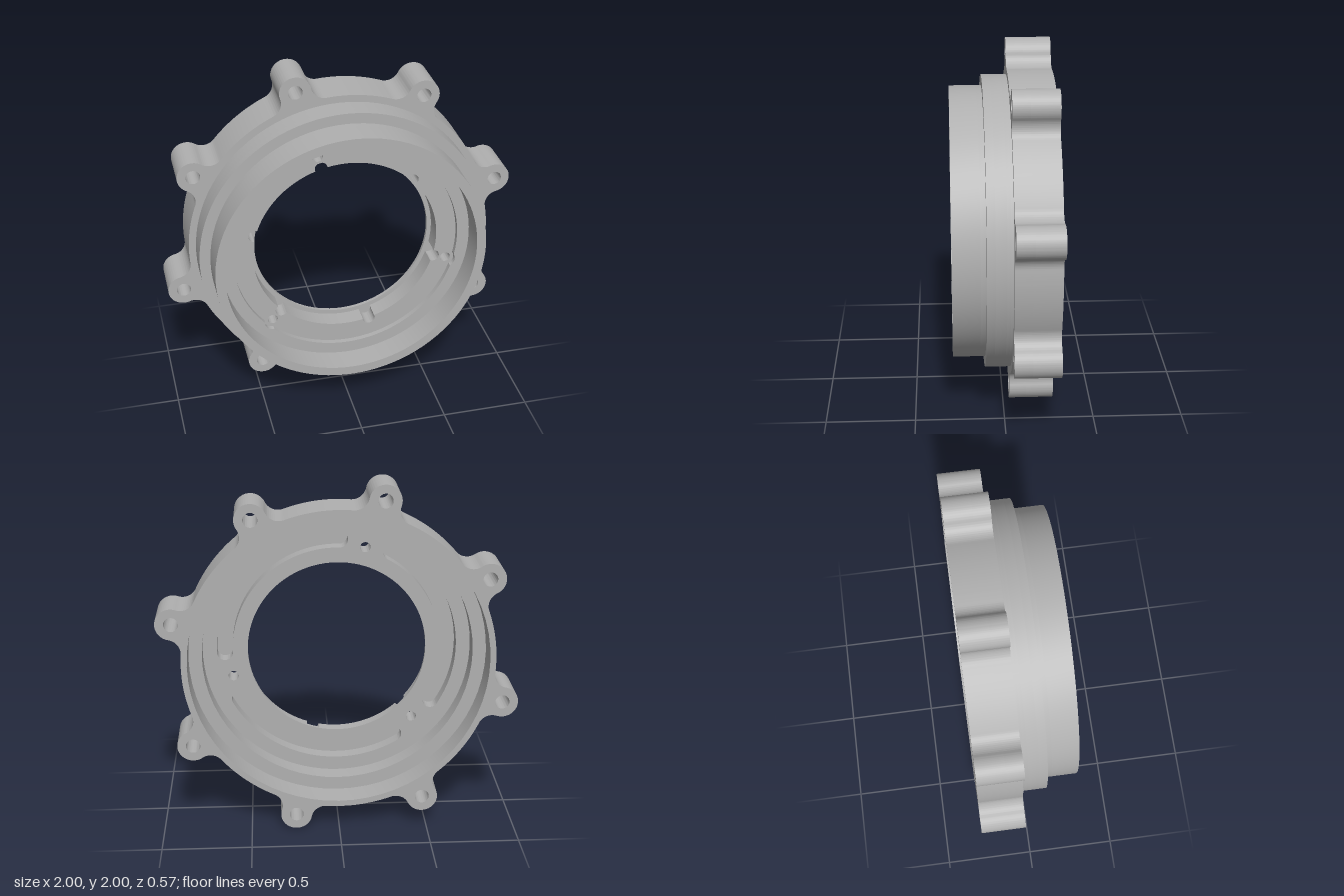
import * as THREE from 'three';
import { toCreasedNormals } from 'three/addons/utils/BufferGeometryUtils.js';

const RAD = Math.PI / 180;
const polar = (r, a) => new THREE.Vector2(r * Math.cos(a), r * Math.sin(a));
const dir = (from, to) => Math.atan2(to.y - from.y, to.x - from.x);
const angles = (first, count) =>
  Array.from({ length: count }, (_, i) => (first + (i * 360) / count) * RAD);

const BOLTS = angles(15, 8);
const SCREWS = angles(105, 3);
const GROOVES = angles(45, 6);

const circle = (r, c = { x: 0, y: 0 }, Type = THREE.Path) =>
  new Type().absarc(c.x, c.y, r, 0, Math.PI * 2, false);
const disc = (r) => circle(r, undefined, THREE.Shape);

// Angle at the origin of a triangle with sides a, b and opposite side c
const corner = (a, b, c) => Math.acos((a * a + b * b - c * c) / (2 * a * b));

// Round flange outline with filleted bolt ears
function earedOutline(R, earDist, earR, fillet) {
  const shape = new THREE.Shape();
  const b = corner(earDist, R + fillet, earR + fillet);
  const step = (Math.PI * 2) / BOLTS.length;
  for (const t of BOLTS) {
    const ear = polar(earDist, t);
    const f1 = polar(R + fillet, t - b);
    const f2 = polar(R + fillet, t + b);
    shape.absarc(f1.x, f1.y, fillet, t - b + Math.PI, dir(f1, ear), true);
    shape.absarc(ear.x, ear.y, earR, dir(ear, f1), dir(ear, f2), false);
    shape.absarc(f2.x, f2.y, fillet, dir(f2, ear), t + b + Math.PI, true);
    shape.absarc(0, 0, R, t + b, t + step - b, false);
  }
  return shape;
}

// Circular opening with round scallops cut outward
function scalloped(R, list, dist, r) {
  const path = new THREE.Path();
  const b = corner(R, dist, r);
  const step = (Math.PI * 2) / list.length;
  for (const t of list) {
    const c = polar(dist, t);
    path.absarc(c.x, c.y, r, dir(c, polar(R, t - b)), dir(c, polar(R, t + b)), false);
    path.absarc(0, 0, R, t + b, t + step - b, false);
  }
  return path;
}

// Curved slot with rounded ends
function slot(mid, half, start, end) {
  const path = new THREE.Path();
  const s = polar(mid, start), e = polar(mid, end);
  path.absarc(0, 0, mid + half, start, end, false);
  path.absarc(e.x, e.y, half, end, end + Math.PI, false);
  path.absarc(0, 0, mid - half, end, start, true);
  path.absarc(s.x, s.y, half, start + Math.PI, start + Math.PI * 2, false);
  return path;
}

export function createModel() {
  const model = new THREE.Group();
  model.name = 'bearingHousing';
  const metal = new THREE.MeshStandardMaterial({ color: 0xb0b0b0 });
  metal.name = 'grey metal';

  // One slab of the stepped body, from z0 to z1
  function layer(name, outline, holes, z0, z1, curveSegments = 48) {
    outline.holes.push(...holes);
    const geo = new THREE.ExtrudeGeometry(outline, {
      depth: z1 - z0, bevelEnabled: false, curveSegments,
    });
    const mesh = new THREE.Mesh(toCreasedNormals(geo, 35 * RAD), metal);
    mesh.name = name;
    mesh.position.set(0, 1, z0);
    model.add(mesh);
  }

  const flange = () => earedOutline(0.868, 0.945, 0.088, 0.08);
  const boltHoles = () => BOLTS.map((t) => circle(0.04, polar(0.945, t)));
  const screwHoles = () => SCREWS.map((t) => circle(0.029, polar(0.61, t)));
  const slots = () => SCREWS.map((t) => slot(0.635, 0.045, t + 13.5 * RAD, t + 106.5 * RAD));
  const bore = () => scalloped(0.53, GROOVES, 0.535, 0.035);

  // Eared flange with a stepped recess open to the back
  layer('flangeRim', flange(), [circle(0.835), ...boltHoles()], -0.285, -0.13, 32);
  layer('flangeStep', flange(), [circle(0.76), ...boltHoles()], -0.13, -0.035, 32);

  // Middle collar with the floor, its thin lip, blind slots and grooved bore
  layer('collarWall', disc(0.828), [circle(0.76)], -0.035, -0.02);
  layer('floorLip', disc(0.828), [circle(0.505), ...slots(), ...screwHoles()], -0.02, 0);
  layer('slottedFloor', disc(0.828), [bore(), ...slots(), ...screwHoles()], 0, 0.06);
  layer('floorFront', disc(0.828), [bore(), ...screwHoles()], 0.06, 0.105);

  // Front spigot with a shallow seat relieved around the screws
  layer('seatRing', disc(0.768), [scalloped(0.645, SCREWS, 0.61, 0.05)], 0.105, 0.135);
  layer('spigot', disc(0.768), [circle(0.715)], 0.135, 0.285);

  return model;
}
